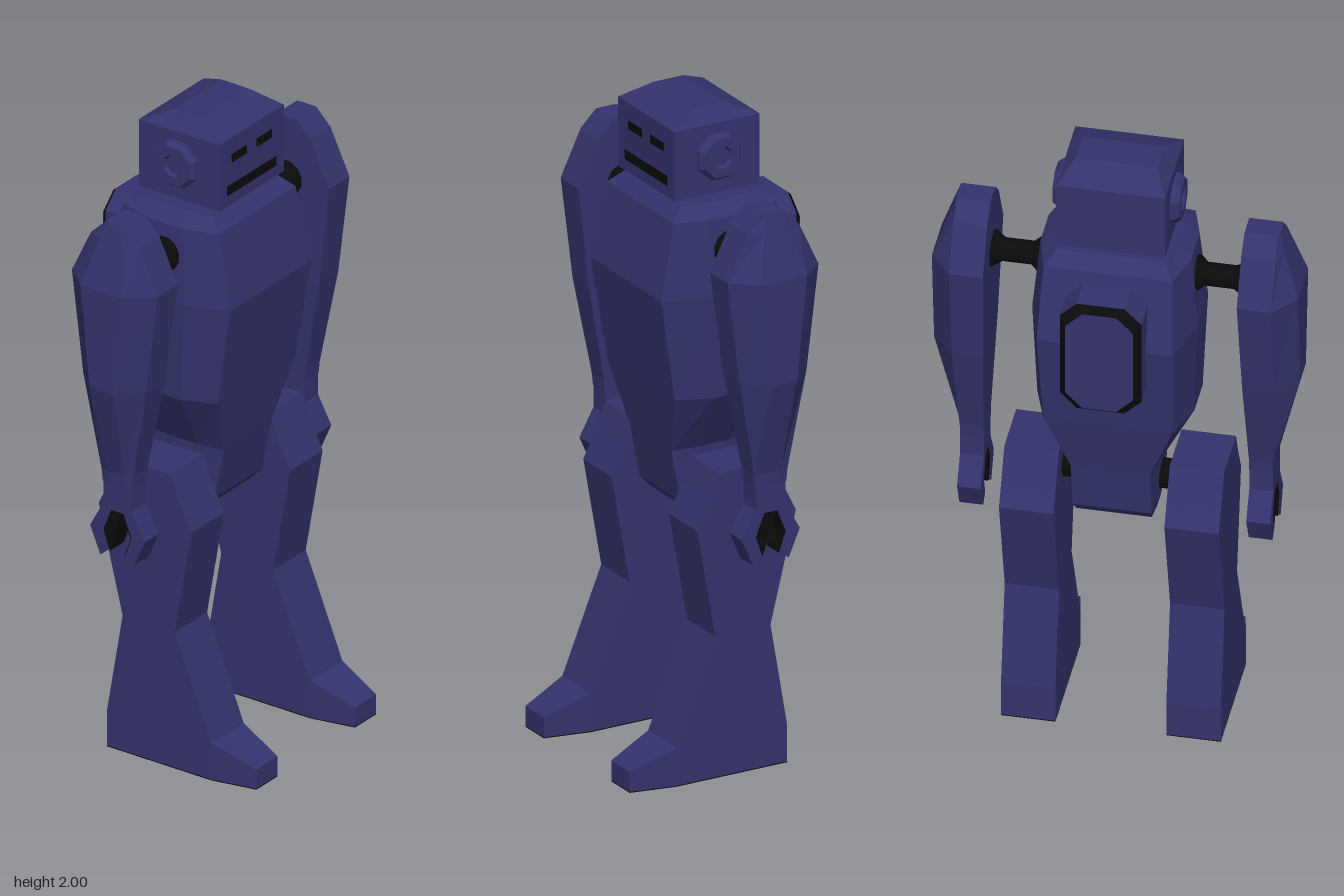
import * as THREE from 'three';

const navy = new THREE.MeshStandardMaterial({ color: 0x33326c, flatShading: true, side: THREE.DoubleSide });
const black = new THREE.MeshStandardMaterial({ color: 0x0a0a0a, flatShading: true, side: THREE.DoubleSide });
const CX = -0.035; // axis of head, arms and hips

function add(parent, name, geometry, material, x = 0, y = 0, z = 0) {
  const mesh = new THREE.Mesh(geometry, material);
  mesh.name = name;
  mesh.position.set(x, y, z);
  parent.add(mesh);
  return mesh;
}

// Skin over convex rings listed bottom to top, each counter-clockwise from above
function loft(rings) {
  const pos = [];
  const tri = (...pts) => pts.forEach((p) => pos.push(...p));
  const n = rings[0].length;
  for (let i = 0; i < rings.length - 1; i++) {
    for (let j = 0; j < n; j++) {
      const k = (j + 1) % n, lo = rings[i], hi = rings[i + 1];
      tri(lo[j], lo[k], hi[k], lo[j], hi[k], hi[j]);
    }
  }
  const bottom = rings[0], top = rings[rings.length - 1];
  for (let j = 1; j < n - 1; j++) {
    tri(bottom[0], bottom[j + 1], bottom[j]);
    tri(top[0], top[j], top[j + 1]);
  }
  const g = new THREE.BufferGeometry();
  g.setAttribute('position', new THREE.Float32BufferAttribute(pos, 3));
  g.computeVertexNormals();
  return g;
}

// Side profile pulled along z, centred on z = 0
function slab(points, depth) {
  const shape = new THREE.Shape(points.map(([x, y]) => new THREE.Vector2(x, y)));
  return new THREE.ExtrudeGeometry(shape, { depth, bevelEnabled: false }).translate(0, 0, -depth / 2);
}

// Turned part whose axis points along +z
function turned(points, sides) {
  const pts = points.map(([r, h]) => new THREE.Vector2(r, h));
  return new THREE.LatheGeometry(pts, sides).rotateY(Math.PI / sides).rotateX(Math.PI / 2);
}

// Narrow the toe of a foot profile
function taperToe(g) {
  const p = g.attributes.position;
  for (let i = 0; i < p.count; i++) if (p.getX(i) > 0.3) p.setZ(i, p.getZ(i) * 0.65);
  g.computeVertexNormals();
  return g;
}

const rect = (y, x0, x1, z) => [[x0, y, z], [x1, y, z], [x1, y, -z], [x0, y, -z]];

function torsoRing([y, x0, x1, zc, zm]) {
  const a = x0 + (x1 - x0) * 0.35, b = x0 + (x1 - x0) * 0.7;
  return [[a, y, zm], [b, y, zm], [x1, y, zc], [x1, y, -zc], [b, y, -zm], [a, y, -zm], [x0, y, -zc], [x0, y, zc]];
}

function makeHead() {
  const head = new THREE.Group();
  head.name = 'head';
  add(head, 'skull', loft([
    rect(1.745, -0.175, 0.11, 0.16), rect(1.96, -0.175, 0.11, 0.16), rect(2, -0.085, 0.015, 0.12),
  ]), navy);
  add(head, 'neck', new THREE.BoxGeometry(0.18, 0.05, 0.22), black, CX, 1.73, 0);
  add(head, 'mouth', new THREE.BoxGeometry(0.006, 0.03, 0.24), black, 0.109, 1.795, 0);
  for (const s of [1, -1]) {
    add(head, 'eye', new THREE.BoxGeometry(0.006, 0.026, 0.075), black, 0.109, 1.893, s * 0.062);
    const ear = add(head, 'ear', turned([
      [0.076, 0], [0.076, 0.012], [0.064, 0.027], [0.036, 0.027], [0.03, 0.016], [0, 0.016],
    ], 8), navy, CX, 1.86, s * 0.16);
    if (s < 0) ear.rotation.y = Math.PI;
  }
  return head;
}

// Arm with its own x = 0 on the shoulder axis, reaching out along +z
function makeArm() {
  const arm = new THREE.Group();
  arm.name = 'arm';
  // y, half width, half width of outer face, inner z, corner z, outer z
  const rings = [
    [0.94, 0.053, 0.03, 0.39, 0.458, 0.463],
    [0.98, 0.056, 0.03, 0.39, 0.46, 0.465],
    [1.28, 0.112, 0.042, 0.381, 0.473, 0.538],
    [1.6, 0.152, 0.075, 0.373, 0.473, 0.538],
    [1.74, 0.085, 0.04, 0.373, 0.473, 0.491],
    [1.79, 0.035, 0.02, 0.373, 0.473, 0.475],
  ].map(([y, h, m, z0, z1, z2]) => [[-m, y, z2], [m, y, z2], [h, y, z1], [h, y, z0], [-h, y, z0], [-h, y, z1]]);
  add(arm, 'sleeve', loft(rings), navy);

  // Pincer hand, its black lining following the inner edge
  const outer = [[0.05, 0.95], [0.05, 0.87], [0.097, 0.785], [0.06, 0.7]];
  const inner = [[0.03, 0.725], [0.05, 0.785], [0.022, 0.855]];
  const mirror = (pts) => pts.map(([x, y]) => [-x, y]).reverse();
  add(arm, 'hand', slab([...outer, ...inner, ...mirror(inner), ...mirror(outer)], 0.07), navy, 0, 0, 0.425);
  const thin = inner.map(([x, y]) => [x - 0.004, y - 0.003]);
  add(arm, 'handLining', slab([...inner, ...mirror(inner), ...mirror(thin).reverse(), ...thin.reverse()]
    .length ? [...inner, ...mirror(inner), ...mirror([...thin].reverse()), ...thin] : inner, 0.068), black, 0, 0, 0.425);

  // Flared shoulder axle
  add(arm, 'shoulderAxle', turned([
    [0.055, 0.2], [0.055, 0.232], [0.035, 0.255], [0.035, 0.34], [0.055, 0.37], [0.055, 0.385],
  ], 12), black, 0, 1.595, 0);
  return arm;
}

function makeLeg() {
  const leg = new THREE.Group();
  leg.name = 'leg';
  add(leg, 'legAndFoot', taperToe(slab([
    [-0.17, 0.003], [0.2, 0.003], [0.34, 0.003], [0.34, 0.065], [0.2, 0.12], [0.07, 0.44], [0.13, 0.78],
    [0.085, 0.87], [0.055, 0.945], [-0.12, 0.945], [-0.17, 0.84], [-0.2, 0.78], [-0.115, 0.44], [-0.17, 0.12],
  ], 0.16)), navy);
  add(leg, 'sole', taperToe(slab([[-0.17, 0], [0.2, 0], [0.34, 0], [0.34, 0.003], [0.2, 0.003], [-0.17, 0.003]], 0.16)), black);
  return leg;
}

function makeBackpack() {
  const pack = new THREE.Group();
  pack.name = 'backpack';
  // Chamfered outline at a given x, as a ring for a loft running towards -x
  const ring = (x, s) => [[0.07, 0.19], [0.12, 0.14], [0.12, -0.14], [0.07, -0.19],
    [-0.07, -0.19], [-0.12, -0.14], [-0.12, 0.14], [-0.07, 0.19]]
    .map(([z, y]) => [x, 1.465 + y - Math.sign(y) * s, z - Math.sign(z) * s]).reverse();
  add(pack, 'packBody', loft([ring(-0.19, 0), ring(-0.322, 0)]), navy);
  add(pack, 'packRim', loft([ring(-0.322, 0), ring(-0.343, 0.018)]), black);
  add(pack, 'packPanel', loft([ring(-0.342, 0.02), ring(-0.345, 0.02)]), navy);
  return pack;
}

export function createModel() {
  const model = new THREE.Group();
  model.name = 'robot';

  // y, back x, front x, corner z, side z
  add(model, 'torso', loft([
    [0.75, -0.12, 0.03, 0.11, 0.115],
    [0.79, -0.155, 0.065, 0.116, 0.122],
    [0.95, -0.18, 0.095, 0.116, 0.125],
    [1.14, -0.215, 0.128, 0.19, 0.231],
    [1.46, -0.265, 0.178, 0.2, 0.243],
    [1.69, -0.212, 0.13, 0.19, 0.222],
    [1.725, -0.17, 0.09, 0.16, 0.175],
  ].map(torsoRing)), navy);
  model.add(makeHead(), makeBackpack());

  const hip = new THREE.CylinderGeometry(0.045, 0.045, 0.36, 12).rotateX(Math.PI / 2);
  add(model, 'hipAxle', hip, black, CX, 0.85, 0);

  for (const s of [1, -1]) {
    const arm = makeArm();
    arm.position.x = CX;
    if (s < 0) arm.rotation.y = Math.PI;
    const leg = makeLeg();
    leg.position.z = s * 0.243;
    model.add(arm, leg);
  }
  return model;
}
